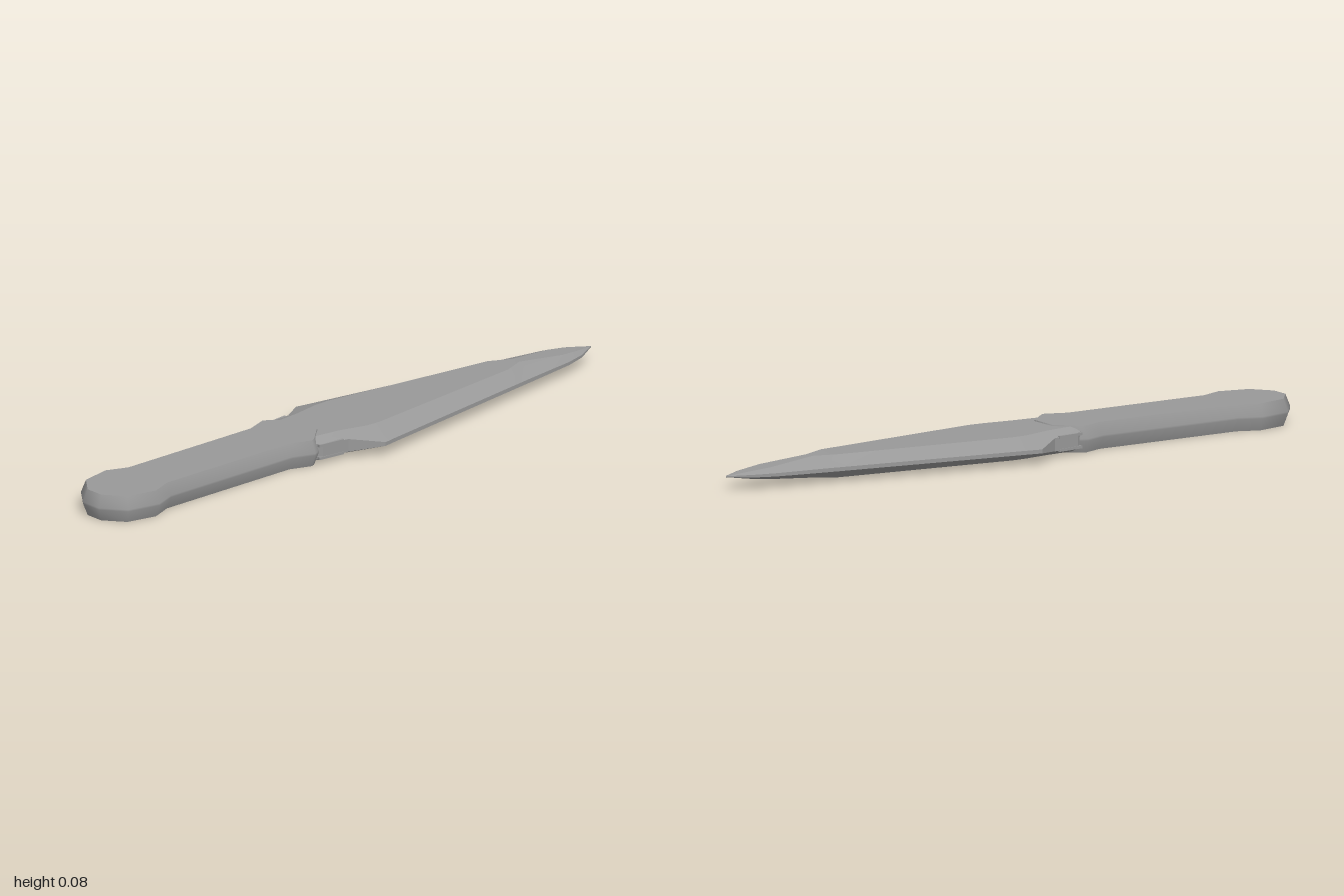
import * as THREE from 'three';
import { toCreasedNormals } from 'three/addons/utils/BufferGeometryUtils.js';

const MID = 0.041; // height of the central plane

// Handle: symmetric outline, widest halfway up its side
function handleGeometry() {
  const half = [
    [-1, 0.035], [-0.945, 0.105], [-0.84, 0.128], [-0.77, 0.1], [-0.285, 0.1],
    [-0.215, 0.126], [-0.195, 0.118], [-0.125, 0.055],
  ];
  const outline = [...half, ...half.map(([x, z]) => [x, -z]).reverse()];
  const shape = new THREE.Shape(outline.map(([x, z]) => new THREE.Vector2(x, z)));
  const geometry = new THREE.ExtrudeGeometry(shape, {
    depth: 0.006, bevelThickness: 0.038, bevelSize: 0.014, bevelOffset: -0.014, bevelSegments: 1,
  });
  geometry.rotateX(-Math.PI / 2);
  geometry.translate(0, 0.038, 0);
  return toCreasedNormals(geometry, 0.9);
}

// Blade: eight-sided sections with flat faces and a thin edge, closing to a point
function bladeGeometry() {
  // x, edge half width, flat half width, flat half height, edge half height
  const sections = [
    [-0.27, 0.08, 0.06, 0.03, 0.02],
    [-0.2, 0.108, 0.08, 0.038, 0.025],
    [-0.18, 0.122, 0.085, 0.038, 0.024],
    [-0.09, 0.134, 0.095, 0.037, 0.02],
    [0, 0.2, 0.115, 0.035, 0.006],
    [0.05, 0.191, 0.117, 0.035, 0.006],
    [0.63, 0.098, 0.046, 0.035, 0.006],
    [0.7, 0.087, 0.016, 0.033, 0.006],
    [0.86, 0.062, 0.03, 0.018, 0.005],
    [0.93, 0.041, 0.02, 0.011, 0.004],
    [1, 0.001, 0.0005, 0.002, 0.001],
  ];
  const rings = sections.map(([x, w, f, h, e]) => [
    [f, h], [w, e], [w, -e], [f, -h], [-f, -h], [-w, -e], [-w, e], [-f, h],
  ].map(([z, y]) => [x, MID + y, z]));

  const positions = [];
  const triangle = (a, b, c) => positions.push(...a, ...b, ...c);
  for (let i = 0; i < rings.length - 1; i++) {
    for (let j = 0; j < 8; j++) {
      const k = (j + 1) % 8;
      triangle(rings[i][j], rings[i][k], rings[i + 1][j]);
      triangle(rings[i][k], rings[i + 1][k], rings[i + 1][j]);
    }
  }
  // End caps
  const first = rings[0], last = rings[rings.length - 1];
  for (let j = 1; j < 7; j++) {
    triangle(first[0], first[j + 1], first[j]);
    triangle(last[0], last[j], last[j + 1]);
  }
  const geometry = new THREE.BufferGeometry();
  geometry.setAttribute('position', new THREE.Float32BufferAttribute(positions, 3));
  return toCreasedNormals(geometry, 0.3);
}

export function createModel() {
  const group = new THREE.Group();
  group.name = 'dagger';
  const material = new THREE.MeshStandardMaterial({ color: 0x999999 });
  const add = (name, geometry) => {
    const mesh = new THREE.Mesh(geometry, material);
    mesh.name = name;
    group.add(mesh);
  };

  add('handle', handleGeometry());
  add('blade', bladeGeometry());

  // Slim raised bars framing the recess on each side of the collar
  for (const side of [1, -1]) {
    for (const level of [1, -1]) {
      const bar = new THREE.BoxGeometry(0.09, 0.008, 0.02);
      bar.rotateY(-side * 0.12);
      bar.translate(-0.15, MID + level * 0.02, side * 0.118);
      add('collarBar', bar);
    }
  }
  return group;
}
